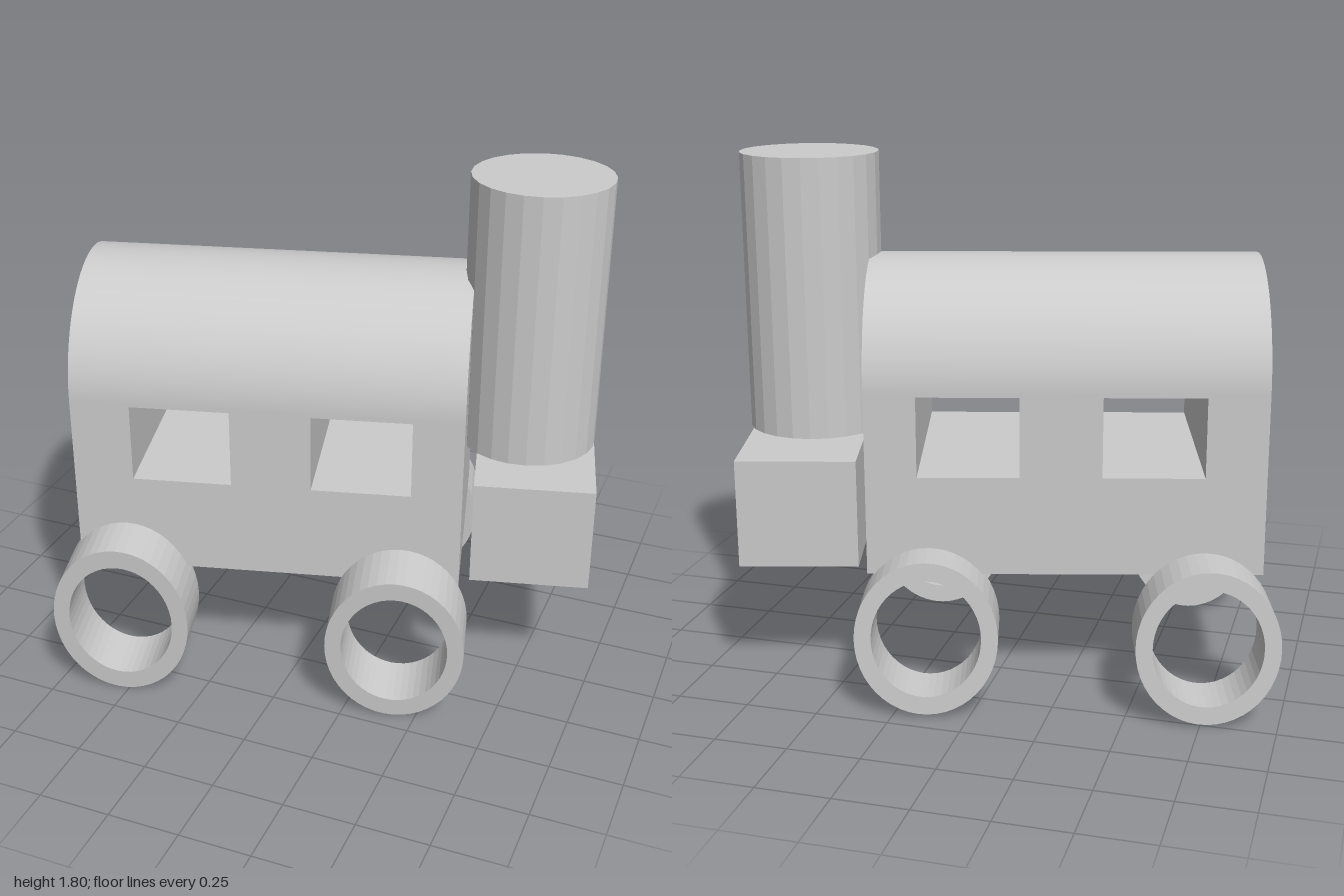
import * as THREE from 'three';

const smooth = new THREE.MeshStandardMaterial({ color: 0xcccccc });
const faceted = new THREE.MeshStandardMaterial({ color: 0xcccccc, flatShading: true });

const LENGTH = 1.33, WIDTH = 0.786, BASE = 0.44, TOP = 1.46;
const EAVES = TOP - WIDTH / 2;

function add(parent, name, geometry, material, x, y, z) {
  const mesh = new THREE.Mesh(geometry, material);
  mesh.name = name;
  mesh.position.set(x, y, z);
  parent.add(mesh);
  return mesh;
}

function rectangle(path, x0, y0, x1, y1) {
  path.moveTo(x0, y0);
  path.lineTo(x1, y0);
  path.lineTo(x1, y1);
  path.lineTo(x0, y1);
  path.closePath();
  return path;
}

// Oval ring with its axis along z, unit outer radius
function ringGeometry(thickness) {
  const shape = new THREE.Shape().absarc(0, 0, 1, 0, Math.PI * 2, false);
  shape.holes.push(new THREE.Path().absarc(0, 0, 0.765, 0, Math.PI * 2, true));
  const g = new THREE.ExtrudeGeometry(shape, { depth: thickness, bevelEnabled: false, curveSegments: 24 });
  return g.translate(0, 0, -thickness / 2);
}

export function createModel() {
  const model = new THREE.Group();
  model.name = 'toyLocomotive';

  // Everything is built along x, then the engine is turned as a whole
  const engine = new THREE.Group();
  engine.name = 'engine';
  engine.position.set(-0.166, 0, -0.005);
  engine.rotation.y = 0.251;
  model.add(engine);

  // Cabin walls with two windows running right through
  const wall = rectangle(new THREE.Shape(), -LENGTH / 2, BASE, LENGTH / 2, EAVES);
  for (const x of [-0.461, 0.153]) {
    wall.holes.push(rectangle(new THREE.Path(), x, 0.78, x + 0.34, 1.055));
  }
  const cabin = new THREE.ExtrudeGeometry(wall, { depth: WIDTH, bevelEnabled: false });
  add(engine, 'cabin', cabin, faceted, 0, 0, -WIDTH / 2);

  // Half-round roof
  const roof = new THREE.CylinderGeometry(WIDTH / 2, WIDTH / 2, LENGTH, 32, 1, false, 0, Math.PI);
  roof.rotateY(Math.PI / 2).rotateX(-Math.PI / 2).rotateY(Math.PI / 2);
  // The arc faces up, its axis along x
  roof.computeBoundingBox();
  if (roof.boundingBox.max.y < 0.1) roof.rotateX(Math.PI);
  add(engine, 'roof', roof, smooth, 0, EAVES, 0);

  // Front block and the chimney hovering just above it
  add(engine, 'frontBlock', new THREE.BoxGeometry(0.407, 0.375, 0.686), faceted, 0.904, 0.6275, 0.011);
  const chimney = add(engine, 'chimney', new THREE.CylinderGeometry(1, 1, 0.955, 24), faceted, 0.87, 1.3275, 0.032);
  chimney.scale.set(0.236, 1, 0.222);

  // Oval wheels, slightly tilted: name, x, z, half height
  const ring = ringGeometry(0.2);
  const wheels = [
    ['rearLeftWheel', -0.463, -0.529, 0.262],
    ['frontLeftWheel', 0.459, -0.465, 0.264],
    ['rearRightWheel', -0.495, 0.454, 0.295],
    ['frontRightWheel', 0.462, 0.487, 0.28],
  ];
  for (const [name, x, z, h] of wheels) {
    const wheel = add(engine, name, ring, faceted, x, h + 0.008, z);
    wheel.scale.set(0.2375, h, 1);
    wheel.rotation.x = 0.05;
  }
  return model;
}
